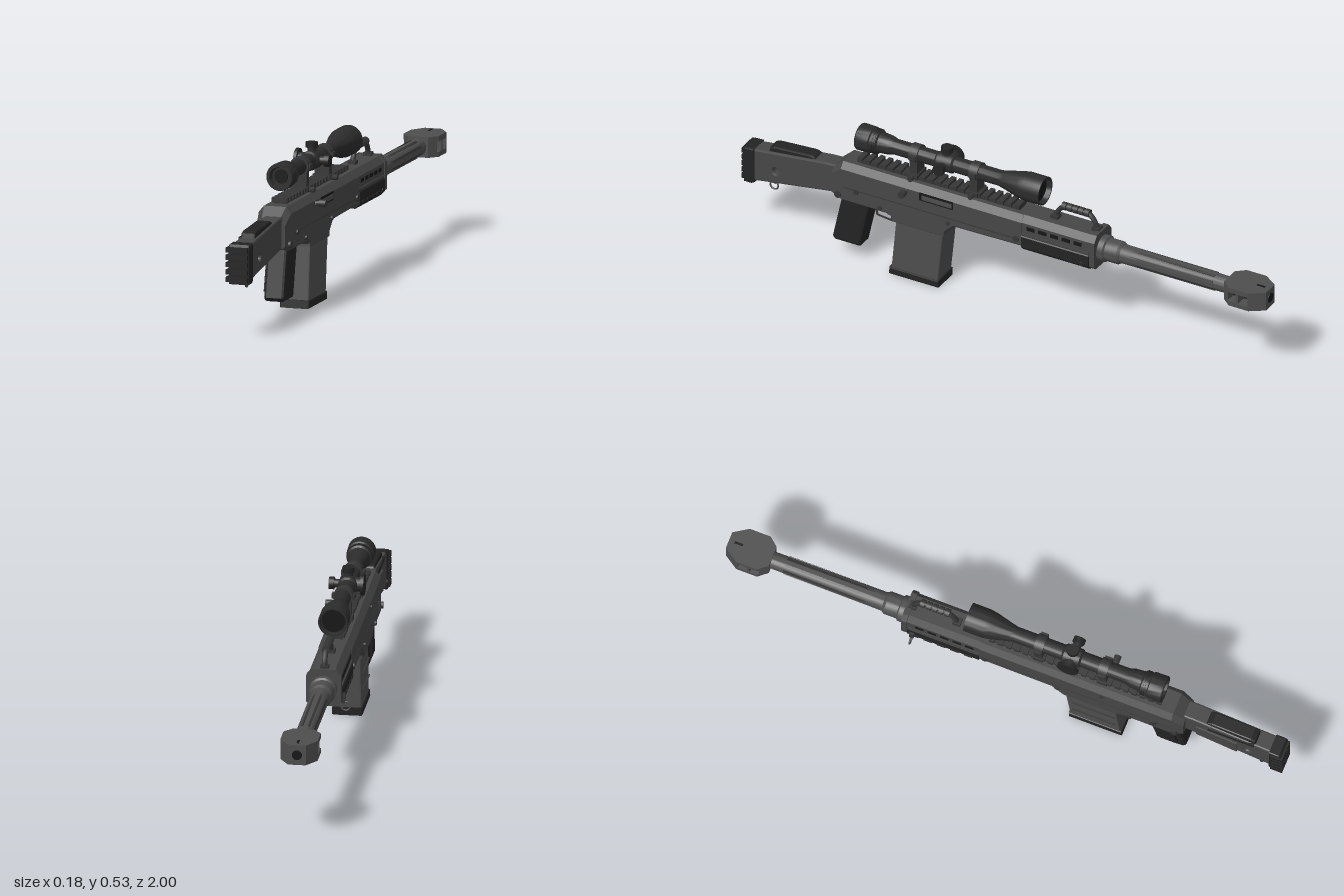
import * as THREE from 'three';
import { toCreasedNormals } from 'three/addons/utils/BufferGeometryUtils.js';

const mat = (name, color) => {
  const m = new THREE.MeshStandardMaterial({ color });
  m.name = name;
  return m;
};

export function createModel() {
  const root = new THREE.Group();
  root.name = 'scopedRifle';
  const gun = new THREE.Group();
  gun.name = 'rifle';
  gun.position.x = -0.005;
  root.add(gun);

  const body = mat('gunmetal', 0x464646);
  const steel = mat('steel', 0x4e4e4e);
  const rubber = mat('blackPolymer', 0x232323);
  const optic = mat('opticBlack', 0x2c2c2c);
  const railMat = mat('railGrey', 0x363636);
  const hollow = mat('darkOpening', 0x161616);

  const add = (name, geo, m, x = 0, y = 0, z = 0) => {
    const mesh = new THREE.Mesh(geo, m);
    mesh.name = name;
    mesh.position.set(x, y, z);
    gun.add(mesh);
    return mesh;
  };
  // Box from extents in x half width, y range and z range
  const block = (name, m, hw, y0, y1, z0, z1, x = 0) =>
    add(name, new THREE.BoxGeometry(hw * 2, y1 - y0, z1 - z0), m, x, (y0 + y1) / 2, (z0 + z1) / 2);
  const rod = (name, m, axis, r, len, x, y, z, sides = 20) => {
    const g = new THREE.CylinderGeometry(r, r, len, sides);
    if (axis === 'x') g.rotateZ(Math.PI / 2);
    if (axis === 'z') g.rotateX(Math.PI / 2);
    return add(name, g, m, x, y, z);
  };
  // Side outline of [z, y] points, extruded across x
  const side = (name, m, pts, hw, bevel = 0, hole = null) => {
    const s = new THREE.Shape(pts.map(p => new THREE.Vector2(...p)));
    if (hole) s.holes.push(hole);
    const g = new THREE.ExtrudeGeometry(s, {
      depth: 2 * (hw - bevel), bevelEnabled: bevel > 0, bevelThickness: bevel,
      bevelSize: bevel, bevelOffset: -bevel, bevelSegments: 2, curveSegments: 16,
    });
    g.translate(0, 0, bevel - hw).translate(0, 0, 0);
    g.translate(0, 0, -bevel).rotateY(-Math.PI / 2);
    return add(name, g, m);
  };
  // Top outline of [x, z] points, extruded between two heights
  const slab = (name, m, pts, y0, y1) => {
    const s = new THREE.Shape(pts.map(p => new THREE.Vector2(...p)));
    const g = new THREE.ExtrudeGeometry(s, { depth: y1 - y0, bevelEnabled: false });
    return add(name, g.rotateX(Math.PI / 2), m, 0, y1, 0);
  };
  // Round body along z from [radius, z] points
  const turned = (name, m, pts, y, sides = 32) => {
    const g = new THREE.LatheGeometry(pts.map(p => new THREE.Vector2(...p)), sides).rotateX(Math.PI / 2);
    return add(name, toCreasedNormals(g, 0.5), m, 0, y, 0);
  };
  // Chamfered sections [z, bottom, top, halfWidth] joined along z
  const loft = (name, m, stations, topCut, lowCut) => {
    const pos = [], idx = [], n = 8;
    for (const [z, b, t, w] of stations) {
      const half = [[w - lowCut, b], [w, b + lowCut], [w, t - topCut * 1.25], [w - topCut, t]];
      const ring = [...half, ...half.map(([x, y]) => [-x, y]).reverse()];
      ring.forEach(([x, y]) => pos.push(x, y, z));
    }
    const last = (stations.length - 1) * n;
    for (let i = 0; i < last; i += n) {
      for (let j = 0; j < n; j++) {
        const k = (j + 1) % n;
        idx.push(i + j, i + k, i + n + k, i + j, i + n + k, i + n + j);
      }
    }
    for (let j = 1; j < n - 1; j++) idx.push(0, j + 1, j, last, last + j, last + j + 1);
    const g = new THREE.BufferGeometry();
    g.setAttribute('position', new THREE.Float32BufferAttribute(pos, 3));
    g.setIndex(idx);
    const flat = g.toNonIndexed();
    flat.computeVertexNormals();
    return add(name, flat, m);
  };

  // Receiver and handguard
  loft('receiver', body, [
    [-0.08, 0.262, 0.38, 0.057], [0.18, 0.258, 0.38, 0.057], [0.225, 0.215, 0.38, 0.057],
    [0.41, 0.215, 0.38, 0.057], [0.43, 0.232, 0.38, 0.057], [0.61, 0.232, 0.38, 0.057],
    [0.65, 0.245, 0.345, 0.05],
  ], 0.018, 0.008);
  loft('handguard', body, [[-0.355, 0.262, 0.38, 0.055], [-0.08, 0.262, 0.38, 0.055]], 0.018, 0.01);
  loft('handguardFrontPlate', body, [[-0.36, 0.255, 0.384, 0.059], [-0.34, 0.255, 0.384, 0.059]], 0.018, 0.012);
  loft('lowerGuard', rubber, [[-0.337, 0.248, 0.308, 0.06], [-0.08, 0.248, 0.308, 0.06]], 0.003, 0.016);
  for (const s of [-1, 1]) {
    for (let i = 0; i < 5; i++) {
      block('ventSlot', hollow, 0.002, 0.334, 0.347, -0.31 + i * 0.045, -0.28 + i * 0.045, s * 0.0555);
      block('guardRib', rubber, 0.003, 0.268, 0.274, -0.325 + i * 0.048, -0.295 + i * 0.048, s * 0.061);
    }
    block('receiverSeam', railMat, 0.0015, 0.288, 0.291, -0.07, 0.6, s * 0.057);
    block('guardStrip', body, 0.002, 0.312, 0.318, -0.335, -0.08, s * 0.056);
  }
  for (const [y, z, r] of [[0.255, 0.62, 0.012], [0.285, 0.55, 0.009], [0.29, -0.06, 0.011], [0.25, 0.46, 0.008],
    [0.345, 0.36, 0.006], [0.27, 0.2, 0.007], [0.27, -0.31, 0.007]]) {
    rod('receiverPin', railMat, 'x', r, 0.126, 0, y, z, 16);
  }

  // Ejection port, bolt handle and selector
  block('ejectionPort', hollow, 0.002, 0.328, 0.358, 0.18, 0.31, 0.0565);
  block('boltCover', steel, 0.002, 0.333, 0.35, 0.185, 0.3, 0.058);
  rod('boltArm', steel, 'x', 0.006, 0.03, 0.066, 0.35, 0.36, 12);
  rod('boltKnob', railMat, 'x', 0.012, 0.024, 0.083, 0.35, 0.36, 16);
  block('selectorLever', railMat, 0.004, 0.265, 0.295, 0.535, 0.55, -0.061);

  // Magazine
  side('magazine', steel, [[0.42, 0.02], [0.4, 0.235], [0.22, 0.235], [0.242, 0.02]], 0.048, 0.005);
  side('magazineBase', rubber, [[0.428, 0], [0.425, 0.028], [0.237, 0.028], [0.238, 0]], 0.052, 0.005);
  side('magazineWell', body, [[0.415, 0.21], [0.413, 0.235], [0.215, 0.235], [0.217, 0.21]], 0.054, 0.003);
  for (const y of [0.085, 0.145]) block('magazineBand', railMat, 0.0488, y, y + 0.003, 0.25, 0.405);

  // Grip, trigger and guard
  side('grip', rubber, [[0.65, 0.075], [0.615, 0.238], [0.508, 0.238], [0.515, 0.2], [0.545, 0.062], [0.64, 0.062]], 0.036, 0.009);
  side('gripPanel', rubber, [[0.625, 0.09], [0.6, 0.2], [0.54, 0.2], [0.56, 0.09]], 0.0385, 0.003);
  const guardGap = new THREE.Path([[0.497, 0.225], [0.49, 0.192], [0.444, 0.187], [0.435, 0.225]].map(p => new THREE.Vector2(...p)));
  side('triggerGuard', railMat, [[0.51, 0.238], [0.498, 0.185], [0.44, 0.178], [0.425, 0.238]], 0.012, 0, guardGap);
  side('trigger', steel, [[0.475, 0.24], [0.463, 0.24], [0.46, 0.212], [0.452, 0.196], [0.458, 0.195], [0.47, 0.212]], 0.006);

  // Stock with through hole, cheek rest and butt pad
  const stockHole = new THREE.Path().absarc(0.87, 0.256, 0.012, 0, Math.PI * 2, true);
  side('stock', body, [[0.955, 0.195], [0.955, 0.318], [0.68, 0.35], [0.63, 0.352], [0.63, 0.245], [0.68, 0.238]], 0.032, 0.006, stockHole);
  for (const s of [-1, 1]) {
    const panel = side('stockPanel', body, [[0.835, 0.225], [0.835, 0.3], [0.69, 0.318], [0.69, 0.252]], 0.003, 0.001);
    panel.position.x = s * 0.032;
    rod('stockBushing', railMat, 'x', 0.006, 0.004, s * 0.033, 0.225, 0.925, 12);
  }
  side('cheekRest', rubber, [[0.9, 0.318], [0.895, 0.34], [0.88, 0.346], [0.74, 0.355], [0.725, 0.35], [0.715, 0.335]], 0.025, 0.005);
  block('cheekBase', rubber, 0.029, 0.314, 0.326, 0.73, 0.895);
  side('buttPad', rubber, [[0.99, 0.183], [0.993, 0.31], [0.985, 0.318], [0.95, 0.32], [0.948, 0.19], [0.96, 0.183]], 0.037, 0.005);
  for (let i = 0; i < 5; i++) block('buttRib', rubber, 0.038, 0.192 + i * 0.025, 0.209 + i * 0.025, 0.958, 1.0);

  // Sling rings
  const rearRing = add('rearSlingRing', new THREE.TorusGeometry(0.015, 0.003, 8, 24), steel, 0, 0.174, 0.895);
  rearRing.rotation.y = Math.PI / 2;
  block('rearSlingMount', railMat, 0.008, 0.186, 0.21, 0.885, 0.905);
  add('frontSlingRing', new THREE.TorusGeometry(0.015, 0.003, 8, 24), steel, -0.069, 0.243, -0.32);
  block('frontSlingMount', railMat, 0.006, 0.255, 0.29, -0.328, -0.312, -0.061);

  // Fluted barrel
  const by = 0.316;
  turned('barrelCollar', steel, [[0, -0.44], [0.034, -0.44], [0.04, -0.43], [0.04, -0.385], [0.046, -0.38], [0.046, -0.34], [0, -0.34]], by);
  turned('barrel', steel, [[0, -0.86], [0.029, -0.86], [0.033, -0.43], [0, -0.43]], by);
  for (let i = 0; i < 8; i++) {
    const a = (i + 0.5) * Math.PI / 4, r = 0.0302;
    const flute = add('barrelFlute', new THREE.BoxGeometry(0.008, 0.004, 0.33), railMat,
      Math.cos(a) * r, by + Math.sin(a) * r, -0.63);
    flute.rotation.z = a - Math.PI / 2;
  }

  // Muzzle brake with open side ports
  const outline = [[0.03, -1], [0.063, -0.95], [0.063, -0.875], [0.036, -0.843]];
  const mirrored = pts => [...pts, ...pts.map(([x, z]) => [-x, z]).reverse()];
  slab('brakeTop', steel, mirrored(outline), 0.333, 0.351);
  slab('brakeBottom', steel, mirrored(outline), 0.281, 0.298);
  slab('brakeNose', steel, mirrored([[0.03, -1], [0.063, -0.95], [0.063, -0.945]]), 0.298, 0.333);
  slab('brakeDivider', steel, mirrored([[0.063, -0.911], [0.063, -0.901]]), 0.298, 0.333);
  slab('brakeRear', steel, mirrored([[0.058, -0.87], [0.036, -0.843]]), 0.298, 0.333);
  block('brakeCore', hollow, 0.022, 0.298, 0.333, -0.95, -0.86);
  rod('bore', hollow, 'z', 0.017, 0.004, 0, by, -1, 24);
  block('brakeSlot', hollow, 0.004, 0.35, 0.352, -0.98, -0.95);

  // Top rail
  block('railBase', railMat, 0.022, 0.378, 0.39, -0.055, 0.56);
  for (let i = 0; i < 21; i++) block('railTooth', railMat, 0.028, 0.385, 0.4, -0.055 + i * 0.03, -0.038 + i * 0.03);

  // Carry handle
  const arch = new THREE.CatmullRomCurve3([[0.375, -0.18], [0.405, -0.188], [0.432, -0.212], [0.436, -0.26],
    [0.432, -0.308], [0.405, -0.332], [0.375, -0.338]].map(([y, z]) => new THREE.Vector3(0, y, z)));
  add('carryHandle', new THREE.TubeGeometry(arch, 32, 0.009, 10), railMat);
  for (let i = 0; i < 5; i++) rod('handleGripRing', railMat, 'z', 0.014, 0.016, 0, 0.435, -0.215 - i * 0.022, 16);
  for (const z of [-0.18, -0.338]) block('handleFoot', railMat, 0.014, 0.375, 0.392, z - 0.014, z + 0.014);

  // Scope
  const sy = 0.47;
  turned('scopeBody', optic, [[0, -0.12], [0.043, -0.12], [0.045, -0.14], [0.05, -0.14], [0.05, -0.075], [0.046, -0.05],
    [0.031, 0.01], [0.027, 0.03], [0.027, 0.43], [0.033, 0.45], [0.036, 0.485], [0.042, 0.49], [0.042, 0.512],
    [0.046, 0.516], [0.047, 0.562], [0.045, 0.566], [0.035, 0.566], [0.031, 0.545], [0, 0.545]], sy, 36);
  rod('objectiveLens', hollow, 'z', 0.04, 0.004, 0, sy, -0.121, 32);
  rod('eyepieceLens', hollow, 'z', 0.024, 0.004, 0, sy, 0.546, 32);
  for (const z of [0.495, 0.503]) rod('zoomRing', rubber, 'z', 0.044, 0.004, 0, sy, z, 32);
  turned('turretHousing', optic, [[0.027, 0.2], [0.033, 0.207], [0.033, 0.263], [0.027, 0.27]], sy);
  rod('elevationStem', optic, 'y', 0.015, 0.03, 0, 0.503, 0.235);
  rod('elevationTurret', rubber, 'y', 0.021, 0.018, 0, 0.522, 0.235, 16);
  rod('windageStem', optic, 'x', 0.014, 0.03, 0.038, sy, 0.235);
  rod('windageTurret', rubber, 'x', 0.021, 0.018, 0.056, sy, 0.235, 16);
  rod('focusStem', optic, 'x', 0.024, 0.03, -0.036, sy, 0.235);
  rod('focusTurret', rubber, 'x', 0.037, 0.011, -0.049, sy, 0.235, 24);

  // Scope mounts
  for (const z of [0.35, 0.12]) {
    rod('scopeRing', railMat, 'z', 0.033, 0.032, 0, sy, z, 28);
    block('mountPost', railMat, 0.026, 0.395, 0.452, z - 0.014, z + 0.014);
    block('mountClamp', railMat, 0.032, 0.384, 0.402, z - 0.018, z + 0.018);
    rod('mountNut', railMat, 'x', 0.01, 0.018, 0.042, 0.392, z, 6);
    for (const s of [-1, 1]) block('ringEar', railMat, 0.005, sy - 0.008, sy + 0.008, z - 0.013, z + 0.013, s * 0.034);
  }
  return root;
}
